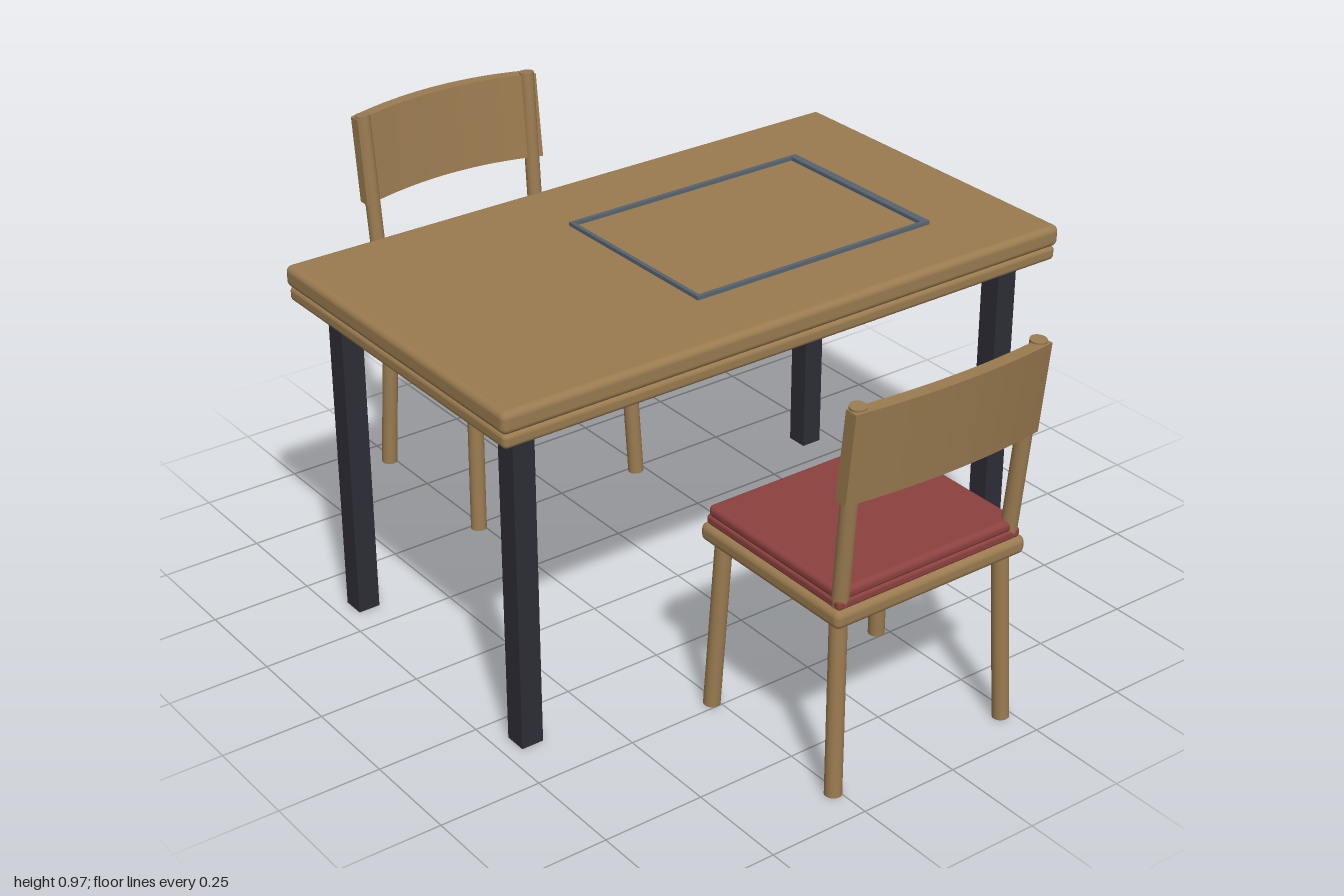
import * as THREE from 'three';
import { RoundedBoxGeometry } from 'three/addons/geometries/RoundedBoxGeometry.js';

function flat(name, color) {
  const m = new THREE.MeshStandardMaterial({ color });
  m.name = name;
  return m;
}

function add(parent, name, geometry, material, x = 0, y = 0, z = 0) {
  const mesh = new THREE.Mesh(geometry, material);
  mesh.name = name;
  mesh.position.set(x, y, z);
  parent.add(mesh);
  return mesh;
}

// Round rod between two points
function rod(parent, name, a, b, radius, material) {
  const from = new THREE.Vector3(...a), to = new THREE.Vector3(...b);
  const dir = to.clone().sub(from);
  const mesh = add(parent, name, new THREE.CylinderGeometry(radius, radius, dir.length(), 20), material);
  mesh.position.copy(from).add(to).multiplyScalar(0.5);
  mesh.quaternion.setFromUnitVectors(new THREE.Vector3(0, 1, 0), dir.normalize());
}

// Backrest: a board bowed outwards in the middle and leaning back
function backrestGeometry() {
  const half = 0.265;
  const g = new THREE.BoxGeometry(2 * half, 0.22, 0.032, 24, 1, 1);
  const p = g.attributes.position;
  for (let i = 0; i < p.count; i++) {
    const x = p.getX(i), y = p.getY(i), z = p.getZ(i);
    const bow = 1 - (x / half) ** 2;
    p.setZ(i, z + 0.94 + 0.03 * bow + 0.11 * y);
    p.setY(i, y + 0.846 + 0.009 * bow);
  }
  g.computeVertexNormals();
  return g;
}

export function createModel() {
  const wood = flat('wood', 0x9a7b50);
  const fabric = flat('red fabric', 0x8c423f);
  const darkMetal = flat('dark metal', 0x2d2d36);
  const trim = flat('blue grey trim', 0x566470);

  const model = new THREE.Group();
  model.name = 'diningSet';

  // Table
  const table = new THREE.Group();
  table.name = 'table';
  model.add(table);
  add(table, 'tableTop', new RoundedBoxGeometry(1.55, 0.053, 0.892, 4, 0.016), wood, 0, 0.8615, 0);
  add(table, 'tableUnderTop', new RoundedBoxGeometry(1.54, 0.036, 0.882, 4, 0.012), wood, 0, 0.818, 0);
  for (const sx of [-1, 1]) for (const sz of [-1, 1])
    add(table, 'tableLeg', new THREE.BoxGeometry(0.055, 0.805, 0.056), darkMetal, sx * 0.682, 0.4025, sz * 0.348);

  // Thin frame laid on the table top
  const frame = new THREE.Group();
  frame.name = 'inlayFrame';
  table.add(frame);
  const x0 = -0.14, x1 = 0.535, z0 = -0.235, z1 = 0.26, h = 0.012, y = 0.891;
  for (const z of [z0 + 0.005, z1 - 0.005])
    add(frame, 'frameLongBar', new THREE.BoxGeometry(x1 - x0, h, 0.01), trim, (x0 + x1) / 2, y, z);
  add(frame, 'frameLeftBar', new THREE.BoxGeometry(0.01, h, z1 - z0 - 0.02), trim, x0 + 0.005, y, (z0 + z1) / 2);
  add(frame, 'frameRightBar', new THREE.BoxGeometry(0.02, h, z1 - z0 - 0.02), trim, x1 - 0.01, y, (z0 + z1) / 2);

  // Chairs facing each other across the table
  const backrest = backrestGeometry();
  for (const turn of [0, Math.PI]) {
    const chair = new THREE.Group();
    chair.name = turn ? 'backChair' : 'frontChair';
    chair.position.x = -0.021;
    chair.rotation.y = turn;
    model.add(chair);
    add(chair, 'seat', new RoundedBoxGeometry(0.532, 0.044, 0.472, 4, 0.016), wood, 0, 0.451, 0.697);
    add(chair, 'cushionBase', new RoundedBoxGeometry(0.51, 0.024, 0.452, 3, 0.008), fabric, 0, 0.482, 0.697);
    add(chair, 'cushion', new RoundedBoxGeometry(0.506, 0.03, 0.448, 4, 0.013), fabric, 0, 0.503, 0.697);
    for (const s of [-1, 1]) {
      rod(chair, 'innerLeg', [s * 0.244, 0, 0.482], [s * 0.228, 0.44, 0.502], 0.02, wood);
      rod(chair, 'outerLeg', [s * 0.244, 0, 0.911], [s * 0.228, 0.44, 0.891], 0.02, wood);
      rod(chair, 'backPost', [s * 0.236, 0.46, 0.902], [s * 0.244, 0.963, 0.948], 0.019, wood);
    }
    add(chair, 'backrest', backrest, wood);
  }
  return model;
}
